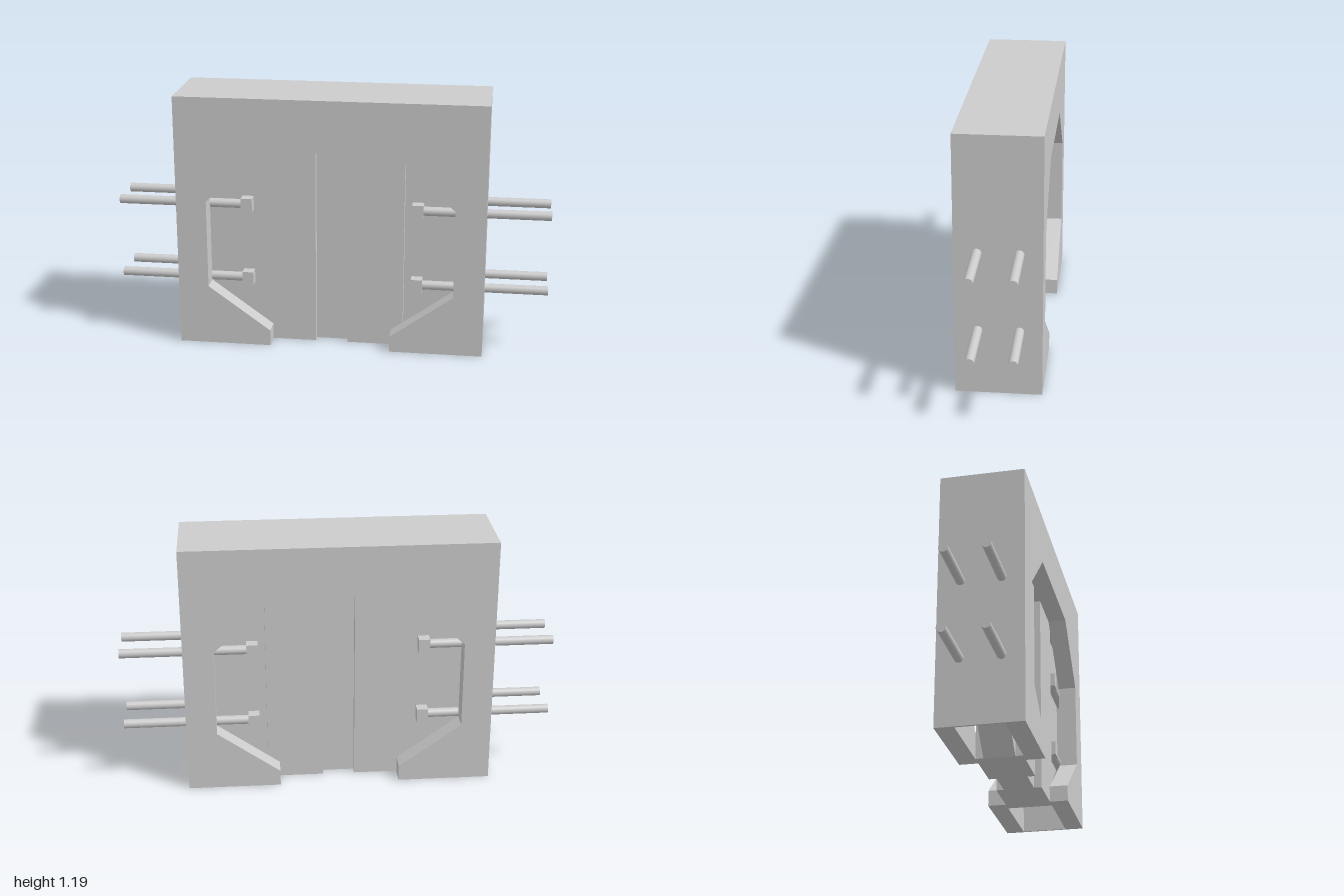
import * as THREE from 'three';

const material = new THREE.MeshStandardMaterial({ color: 0xcccccc });

function add(parent, name, geometry, x = 0, y = 0, z = 0) {
  const mesh = new THREE.Mesh(geometry, material);
  mesh.name = name;
  mesh.position.set(x, y, z);
  parent.add(mesh);
  return mesh;
}

// Extrudes an outline that is mirrored across x = 0, listed along its +x half.
function mirroredPlate(half, depth) {
  const left = half.map(([x, y]) => [-x, y]).reverse();
  const shape = new THREE.Shape([...half, ...left].map(([x, y]) => new THREE.Vector2(x, y)));
  return new THREE.ExtrudeGeometry(shape, { depth, bevelEnabled: false });
}

export function createModel() {
  const group = new THREE.Group();
  group.name = 'block';
  const W = 0.71, H = 1.19, D = 0.19;
  const inner = 0.105; // inside face of the face plates
  const panelZ = 0.07; // half thickness of the central panel

  // Front and back plates with the angled opening
  const outline = [
    [0.30, 0.95], [0.57, 0.70], [0.57, 0.285], [0.28, 0.075],
    [0.28, 0], [W, 0], [W, H],
  ];
  const plate = mirroredPlate(outline, D - inner);
  add(group, 'frontPlate', plate, 0, 0, inner);
  add(group, 'backPlate', plate, 0, 0, -D);

  // Solid top between the plates
  add(group, 'topBlock', new THREE.BoxGeometry(2 * W, H - 0.95, 2 * inner), 0, (H + 0.95) / 2, 0);

  // Central panel, cut away at an angle above the hollow feet
  const panel = mirroredPlate([[0.335, 0], [0.60, 0.25], [0.705, 0.34], [0.705, 0.96]], 2 * panelZ);
  add(group, 'centralPanel', panel, 0, 0, -panelZ);

  for (const side of [-1, 1]) {
    // Thin outer walls closing the sides
    add(group, 'sideWall', new THREE.BoxGeometry(0.01, 0.95, 2 * inner), side * (W - 0.005), 0.475, 0);

    // Thick bands of the panel beside the middle channel
    add(group, 'panelBand', new THREE.BoxGeometry(0.26, 0.955, 2 * inner), side * 0.205, 0.4775, 0);

    // Tie rods with square heads
    for (const y of [0.303, 0.665]) {
      for (const z of [-0.09, 0.09]) {
        const rod = new THREE.CylinderGeometry(0.021, 0.021, 0.6, 16).rotateZ(Math.PI / 2);
        add(group, 'tieRod', rod, side * 0.7, y, z);
        add(group, 'rodHead', new THREE.BoxGeometry(0.052, 0.066, 0.06), side * 0.396, y, z);
      }
    }
  }
  return group;
}
